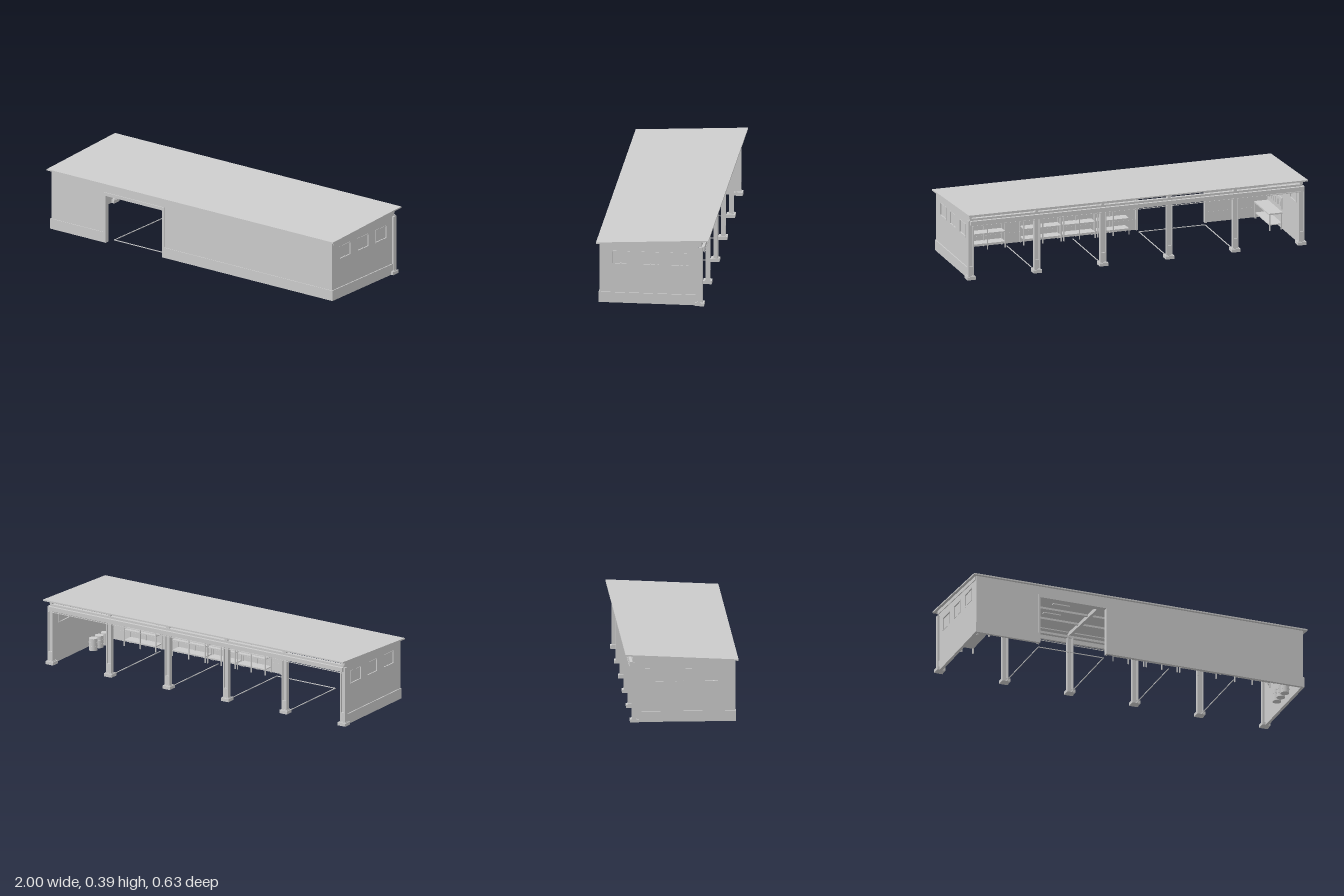
import * as THREE from 'three';

const grey = new THREE.MeshStandardMaterial({ color: 0xcccccc });
grey.name = 'light grey';

const SLOPE = 0.0524;                                   // roof rises towards the back
const under = z => 0.345 + (0.315 - z) * SLOPE;         // underside of the roof
const columnX = [-0.975, -0.585, -0.195, 0.195, 0.585, 0.975];

export function createModel() {
  const model = new THREE.Group();
  model.name = 'openShed';

  const add = (parent, name, geometry) => {
    const mesh = new THREE.Mesh(geometry, grey);
    mesh.name = name;
    parent.add(mesh);
    return mesh;
  };
  // Box given by its limits on each axis
  const box = (parent, name, x0, x1, y0, y1, z0, z1) => {
    const mesh = add(parent, name, new THREE.BoxGeometry(x1 - x0, y1 - y0, z1 - z0));
    mesh.position.set((x0 + x1) / 2, (y0 + y1) / 2, (z0 + z1) / 2);
    return mesh;
  };
  const group = name => {
    const g = new THREE.Group();
    g.name = name;
    model.add(g);
    return g;
  };
  const poly = pts => pts.map(p => new THREE.Vector2(p[0], p[1]));
  const rect = (a, b, c, d) => poly([[a, c], [b, c], [b, d], [a, d]]);
  const extrude = (shape, depth) => new THREE.ExtrudeGeometry(shape, { depth, bevelEnabled: false });
  // Profile drawn in (z, y), extruded along x from x0 to x1
  const sideProfile = (parent, name, shape, x0, x1) => {
    const mesh = add(parent, name, extrude(shape, x1 - x0).rotateY(-Math.PI / 2));
    mesh.position.x = x1;
    return mesh;
  };
  // Bar that follows the roof slope; top and bottom are offsets from its underside
  const slopedBar = (parent, name, x0, x1, bottom, top, z0, z1) =>
    sideProfile(parent, name, new THREE.Shape(poly([
      [z0, under(z0) + bottom], [z1, under(z1) + bottom],
      [z1, under(z1) + top], [z0, under(z0) + top]])), x0, x1);

  // Roof slab, rafters, purlins and ceiling lamps
  const roof = group('roof');
  slopedBar(roof, 'roofSlab', -1, 1, 0, 0.008, -0.315, 0.315);
  columnX.forEach(x => slopedBar(roof, 'rafter', x - 0.009, x + 0.009, -0.022, 0, -0.275, 0.288));
  for (const z of [-0.12, 0.02, 0.16])
    slopedBar(roof, 'purlin', -0.97, 0.97, -0.012, 0, z - 0.007, z + 0.007);
  for (let i = 0; i < 5; i++)
    for (const z of [-0.05, 0.09])
      slopedBar(roof, 'ceilingLamp', -0.83 + i * 0.39, -0.73 + i * 0.39, -0.006, 0, z - 0.012, z + 0.012);

  // End walls with three windows each
  const windows = [[0.125, 0.23], [-0.04, 0.063], [-0.205, -0.1]];
  for (const side of [-1, 1]) {
    const wall = group(side > 0 ? 'leftWall' : 'rightWall');
    const span = (a, b) => side > 0 ? [a, b] : [-b, -a];
    const shape = new THREE.Shape(poly([
      [-0.255, 0], [0.297, 0], [0.297, under(0.297)], [-0.255, under(-0.255)]]));
    windows.forEach(([a, b]) => shape.holes.push(new THREE.Path(rect(a, b, 0.225, 0.302))));
    sideProfile(wall, 'wallPanel', shape, ...span(0.969, 0.98));
    box(wall, 'plinth', ...span(0.969, 0.986), 0, 0.06, -0.255, 0.299);
    windows.forEach(([a, b]) => {
      const frame = new THREE.Shape(rect(a, b, 0.225, 0.302));
      frame.holes.push(new THREE.Path(rect(a + 0.004, b - 0.004, 0.229, 0.298)));
      sideProfile(wall, 'windowFrame', frame, ...span(0.966, 0.982));
      box(wall, 'windowPane', ...span(0.972, 0.975), 0.229, 0.298, a + 0.004, b - 0.004);
      box(wall, 'windowHandle', ...span(0.975, 0.979), 0.228, 0.231, (a + b) / 2 - 0.004, (a + b) / 2 + 0.004);
    });
  }

  // Front wall with the doorway
  const front = group('frontWall');
  const frontShape = new THREE.Shape(poly([
    [-0.98, 0], [-0.6, 0], [-0.6, 0.28], [-0.2, 0.28], [-0.2, 0],
    [0.98, 0], [0.98, 0.346], [-0.98, 0.346]]));
  add(front, 'wallPanel', extrude(frontShape, 0.011)).position.z = 0.287;
  box(front, 'plinth', -0.986, -0.61, 0, 0.06, 0.286, 0.302);
  box(front, 'plinth', -0.19, 0.986, 0, 0.06, 0.286, 0.302);

  // Door surround
  const door = group('doorFrame');
  box(door, 'jamb', -0.61, -0.598, 0, 0.28, 0.275, 0.303);
  box(door, 'jamb', -0.202, -0.19, 0, 0.28, 0.275, 0.303);
  box(door, 'lintel', -0.61, -0.19, 0.278, 0.297, 0.27, 0.303);

  // Columns along the open back, with footings and roof posts
  columnX.forEach(x => {
    const column = group('column');
    column.position.x = x;
    box(column, 'footing', -0.025, 0.025, 0, 0.018, -0.29, -0.24);
    box(column, 'basePlate', -0.02, 0.02, 0.018, 0.022, -0.282, -0.25);
    for (const s of [-1, 1])
      box(column, 'flange', s * 0.014 - 0.003, s * 0.014 + 0.003, 0.022, 0.34, -0.28, -0.255);
    box(column, 'web', -0.012, 0.012, 0.022, 0.34, -0.27, -0.264);
    box(column, 'guard', -0.011, 0.011, 0.022, 0.075, -0.279, -0.27);
    box(column, 'roofPost', -0.008, 0.008, 0.353, under(-0.266), -0.27, -0.263);
  });

  // Beams over the open back
  const beams = group('backBeams');
  box(beams, 'topBeam', -0.98, 0.98, 0.34, 0.353, -0.275, -0.255);
  box(beams, 'doorTrack', -0.98, 0.98, 0.317, 0.341, -0.29, -0.275);
  box(beams, 'trackLip', -0.98, 0.98, 0.311, 0.315, -0.293, -0.291);
  slopedBar(beams, 'eavePurlin', -0.98, 0.98, -0.006, 0, -0.28, -0.255);

  // Thin floor rails
  const rails = group('floorRails');
  columnX.slice(1, 5).forEach(x => box(rails, 'railAcross', x - 0.002, x + 0.002, 0, 0.004, -0.24, 0.24));
  box(rails, 'railAlong', -0.587, -0.193, 0, 0.004, 0.237, 0.241);

  // Shelf racks along the inside of the front wall
  for (const [a, b] of [[0.6, 0.81], [0.27, 0.49], [0.07, 0.255], [-0.13, 0.055]]) {
    const rack = group('shelfRack');
    for (const y of [0.03, 0.09, 0.15]) box(rack, 'shelf', a, b, y, y + 0.005, 0.22, 0.284);
    for (const x of [a, (a + b) / 2, b])
      for (const z of [0.22, 0.28])
        box(rack, 'shelfPost', x - 0.003, x + 0.003, 0, 0.18, z - 0.003, z + 0.003);
  }

  // Workbench and tool board on the right end wall
  const bench = group('workbench');
  box(bench, 'benchTop', -0.967, -0.885, 0.092, 0.1, 0.02, 0.27);
  box(bench, 'lowerShelf', -0.967, -0.89, 0.03, 0.035, 0.025, 0.265);
  for (const z of [0.025, 0.265])
    for (const x of [-0.96, -0.892]) box(bench, 'benchLeg', x - 0.004, x + 0.004, 0, 0.092, z - 0.004, z + 0.004);
  box(bench, 'toolBoard', -0.969, -0.964, 0.115, 0.18, 0.03, 0.26);
  for (let i = 0; i < 6; i++)
    box(bench, 'tool', -0.964, -0.96, 0.13, 0.155 + (i % 3) * 0.006, 0.05 + i * 0.036, 0.057 + i * 0.036);

  // Barrels by the left end wall
  const barrels = group('barrels');
  for (const z of [0.065, 0.125, 0.185]) {
    add(barrels, 'barrel', new THREE.CylinderGeometry(0.024, 0.024, 0.07, 20)).position.set(0.915, 0.035, z);
    for (const y of [0.024, 0.046])
      add(barrels, 'barrelHoop', new THREE.CylinderGeometry(0.0255, 0.0255, 0.003, 20)).position.set(0.915, y, z);
  }
  return model;
}
